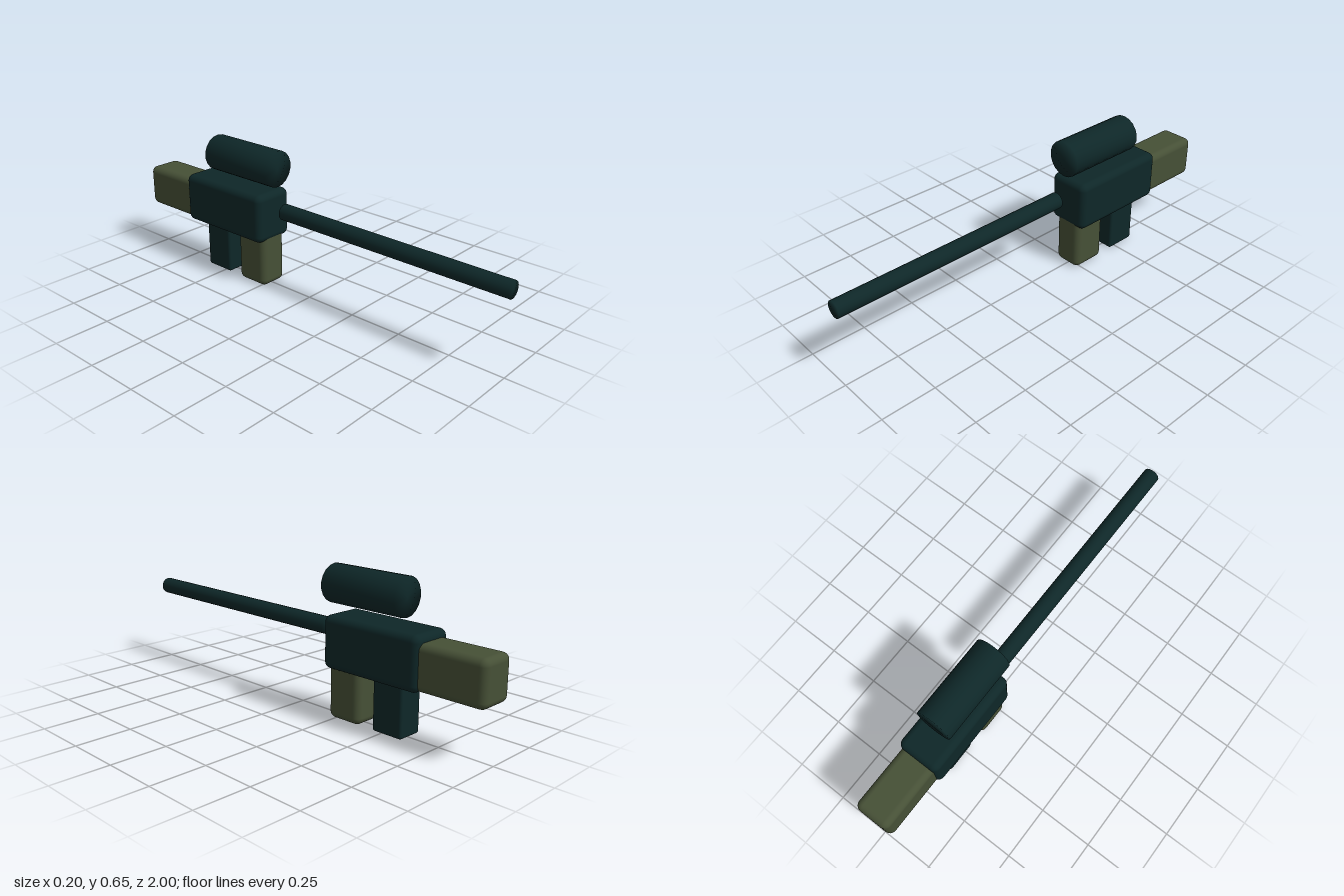
import * as THREE from 'three';
import { mergeVertices } from 'three/addons/utils/BufferGeometryUtils.js';
import { RoundedBoxGeometry } from 'three/addons/geometries/RoundedBoxGeometry.js';

const darkTeal = new THREE.MeshStandardMaterial({ name: 'dark teal', color: 0x0e2728 });
const olive = new THREE.MeshStandardMaterial({ name: 'olive', color: 0x465036 });

// Rounded block, symmetric in x, given by its y and z extents
function block(name, material, halfWidth, [y0, y1], [z0, z1], radius) {
  const geometry = new RoundedBoxGeometry(2 * halfWidth, y1 - y0, z1 - z0, 4, radius);
  const mesh = new THREE.Mesh(geometry, material);
  mesh.name = name;
  mesh.position.set(0, (y0 + y1) / 2, (z0 + z1) / 2);
  return mesh;
}

// Rod along z, with normals blended over the rims of its flat ends
function rod(name, material, radius, y, [z0, z1], sides) {
  const raw = new THREE.CylinderGeometry(radius, radius, z1 - z0, sides).rotateX(Math.PI / 2);
  raw.deleteAttribute('normal');
  raw.deleteAttribute('uv');
  const geometry = mergeVertices(raw, 1e-4);
  geometry.computeVertexNormals();
  const mesh = new THREE.Mesh(geometry, material);
  mesh.name = name;
  mesh.position.set(0, y, (z0 + z1) / 2);
  return mesh;
}

export function createModel() {
  const model = new THREE.Group();
  model.name = 'rifle';
  model.add(
    block('receiver', darkTeal, 0.1, [0.225, 0.455], [-0.705, -0.215], 0.03),
    block('stock', olive, 0.083, [0.23, 0.425], [-1, -0.64], 0.03),
    block('magazine', olive, 0.069, [0, 0.3], [-0.39, -0.22], 0.03),
    block('grip', darkTeal, 0.06, [0.003, 0.3], [-0.61, -0.46], 0.012),
    rod('barrel', darkTeal, 0.038, 0.378, [-0.15, 1], 18),
    rod('scope', darkTeal, 0.084, 0.571, [-0.575, -0.19], 18),
  );
  return model;
}
